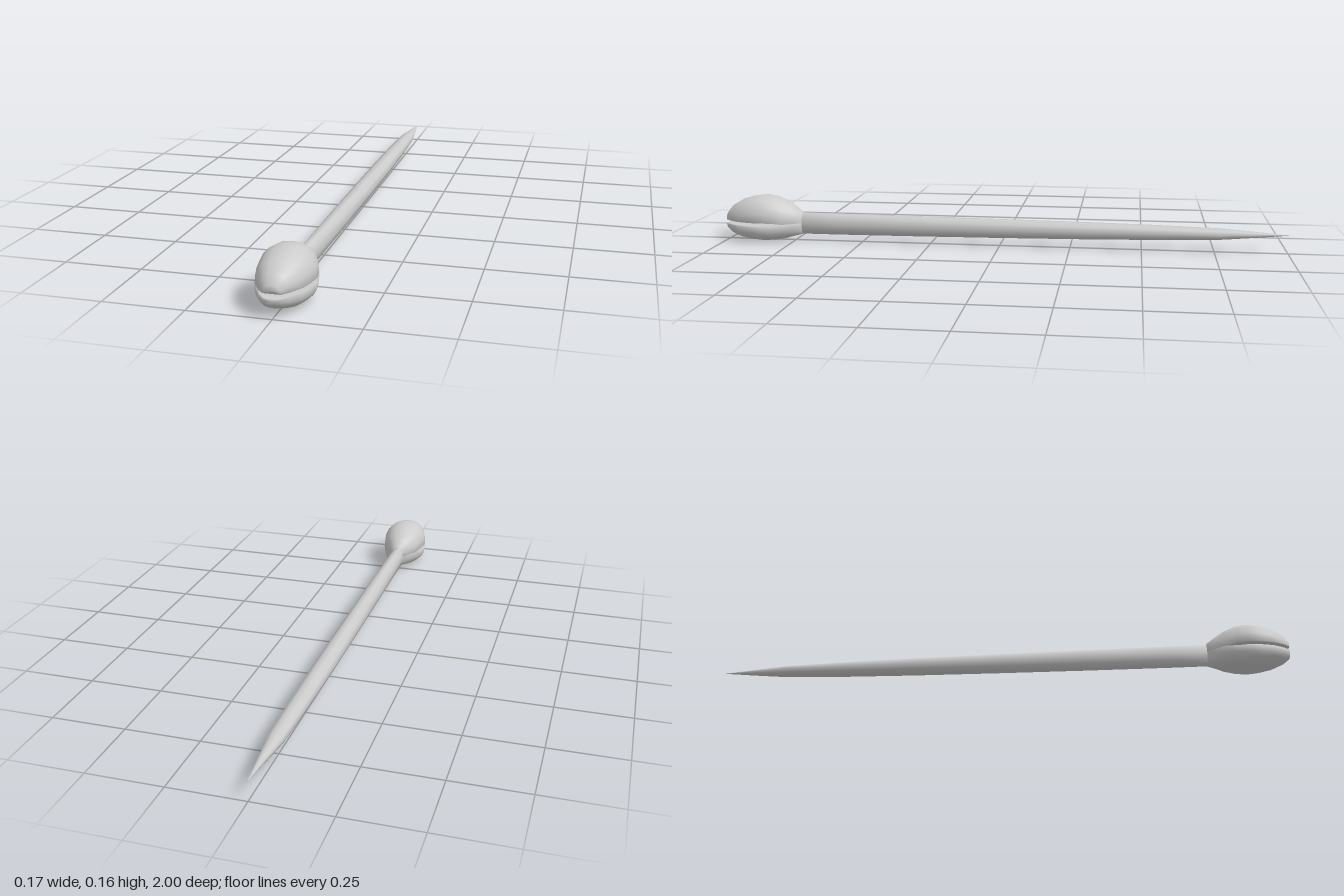
import * as THREE from 'three';

const material = new THREE.MeshStandardMaterial({ color: 0xcccccc, side: THREE.DoubleSide });

// Skins a list of equal-length rings (front to back, counter-clockwise from the front) and caps both ends
function loft(name, rings) {
  const n = rings[0].length, pos = rings.flat(2), index = [];
  for (let i = 0; i < rings.length - 1; i++) {
    for (let j = 0; j < n; j++) {
      const k = (j + 1) % n, a = i * n, b = a + n;
      index.push(a + j, b + j, a + k, b + j, b + k, a + k);
    }
  }
  const addCap = (ring, start, front) => {
    const c = pos.length / 3;
    const mid = [0, 1, 2].map((d) => ring.reduce((s, p) => s + p[d], 0) / n);
    pos.push(...mid);
    for (let j = 0; j < n; j++) {
      const k = (j + 1) % n;
      index.push(c, start + (front ? j : k), start + (front ? k : j));
    }
  };
  addCap(rings[0], 0, true);
  addCap(rings[rings.length - 1], (rings.length - 1) * n, false);
  const geometry = new THREE.BufferGeometry();
  geometry.setAttribute('position', new THREE.Float32BufferAttribute(pos, 3));
  geometry.setIndex(index);
  geometry.computeVertexNormals();
  const mesh = new THREE.Mesh(geometry, material);
  mesh.name = name;
  return mesh;
}

const power = (v, e) => Math.sign(v) * Math.abs(v) ** e;

// Oval body section
function ovalRing([z, w, bottom, top], sides = 10) {
  return Array.from({ length: sides }, (_, j) => {
    const t = (j / sides) * Math.PI * 2;
    return [w * Math.cos(t), (top + bottom) / 2 + ((top - bottom) / 2) * Math.sin(t), z];
  });
}

// Half-oval jaw section: rounded outside, flat inside; dir is +1 for upper, -1 for lower
function jawRing(z, w, lip, edge, dir) {
  const ring = [], steps = 10, e = dir > 0 ? 0.9 : 0.8;
  for (let j = 0; j <= steps; j++) {
    const t = (j / steps) * Math.PI;
    ring.push([dir * w * power(Math.cos(t), e), lip + (edge - lip) * power(Math.sin(t), e), z]);
  }
  for (const f of [-0.85, -0.4, 0, 0.4, 0.85]) ring.push([dir * w * f, lip, z]);
  return ring;
}

export function createModel() {
  const model = new THREE.Group();
  model.name = 'snake';

  // Long body tapering to a pointed tail: z, half width, bottom, top
  model.add(loft('body', [
    [0.74, 0.025, 0.026, 0.106], [0.6, 0.027, 0.026, 0.104], [0.3, 0.031, 0.028, 0.102],
    [0, 0.033, 0.031, 0.099], [-0.3, 0.034, 0.035, 0.096], [-0.55, 0.032, 0.04, 0.092],
    [-0.77, 0.027, 0.047, 0.086], [-0.88, 0.014, 0.056, 0.078], [-1, 0.0005, 0.067, 0.068],
  ].map((s) => ovalRing(s))));

  // Head with an open mouth: z, half width, lower edge, upper edge, half mouth gap
  const headSections = [
    [1, 0.026, 0.042, 0.102, 0.007], [0.98, 0.045, 0.027, 0.127, 0.007],
    [0.94, 0.069, 0.013, 0.151, 0.007], [0.9, 0.08, 0.006, 0.163, 0.007],
    [0.86, 0.086, 0.003, 0.168, 0.007], [0.82, 0.079, 0.005, 0.163, 0.006],
    [0.78, 0.066, 0.011, 0.147, 0], [0.75, 0.046, 0.019, 0.128, 0],
    [0.72, 0.026, 0.026, 0.107, 0],
  ];
  const head = new THREE.Group();
  head.name = 'head';
  head.add(
    loft('upperJaw', headSections.map(([z, w, , top, gap]) => jawRing(z, w, 0.07 + gap, top, 1))),
    loft('lowerJaw', headSections.map(([z, w, bottom, , gap]) => jawRing(z, w, 0.07 - gap, bottom, -1))),
  );
  model.add(head);
  return model;
}
